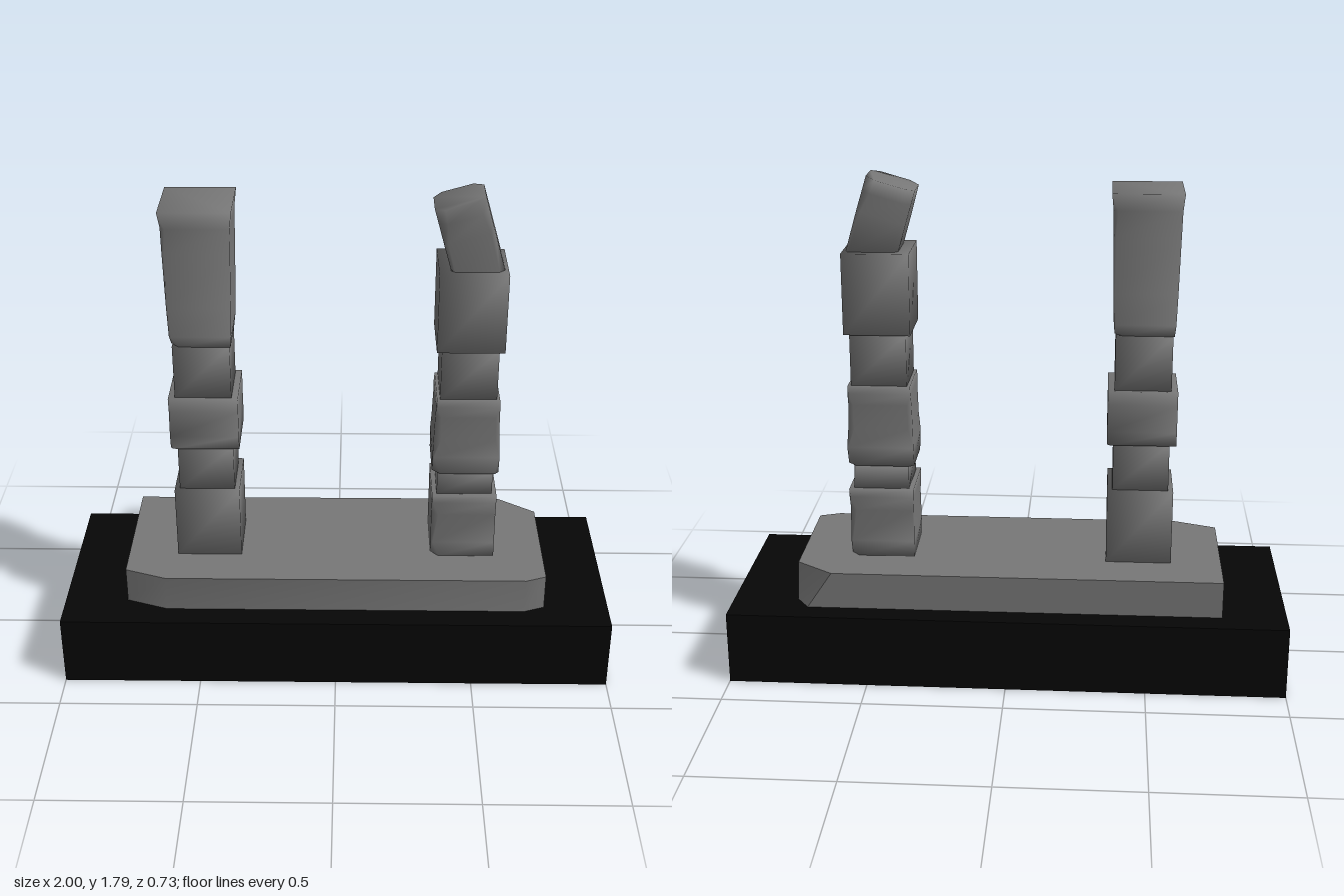
import * as THREE from 'three';
import { mergeVertices, toCreasedNormals } from 'three/addons/utils/BufferGeometryUtils.js';

const stone = new THREE.MeshStandardMaterial({ color: 0x777777 });
const black = new THREE.MeshStandardMaterial({ color: 0x060606 });

// Closed solid through rings of [x, y, z], each counterclockwise seen from above
function loft(rings) {
  const n = rings[0].length, pos = rings.flat(2), index = [];
  rings.slice(1).forEach((_, r) => {
    for (let k = 0; k < n; k++) {
      const a = r * n + k, b = r * n + (k + 1) % n;
      index.push(a, b, b + n, a, b + n, a + n);
    }
  });
  const top = (rings.length - 1) * n;
  for (let k = 1; k < n - 1; k++) {
    index.push(0, k + 1, k, top, top + k, top + k + 1);
  }
  const g = new THREE.BufferGeometry();
  g.setAttribute('position', new THREE.Float32BufferAttribute(pos, 3));
  g.setIndex(index);
  return g;
}

// Rectangle ring; cut a trims the +x-z and -x+z corners, cut b the other two
function ring([y, hx, hz, a = 0, b = 0]) {
  return [
    [hx, y, hz - b], [hx, y, -hz + a], [hx - a, y, -hz], [-hx + b, y, -hz],
    [-hx, y, -hz + b], [-hx, y, hz - a], [-hx + a, y, hz], [hx - b, y, hz],
  ];
}

// Hewn block with soft shading
function block(name, rows) {
  const g = mergeVertices(loft(rows.map(ring)), 1e-4);
  g.computeVertexNormals();
  const m = new THREE.Mesh(g, stone);
  m.name = name;
  return m;
}

// Stack of blocks sharing one axis
function pillar(name, x, blocks) {
  const p = new THREE.Group();
  p.name = name;
  p.position.x = x;
  blocks.forEach((rows, i) => p.add(block('pillarBlock' + (i + 1), rows)));
  return p;
}

export function createModel() {
  const model = new THREE.Group();

  // Dark plinth
  const plinth = new THREE.Mesh(new THREE.BoxGeometry(2, 0.265, 0.73), black);
  plinth.name = 'plinth';
  plinth.position.y = 0.1325;
  model.add(plinth);

  // Worn slab, with its back corner trimmed more at the top
  const outline = (y, cx, cz) => [
    [0.765, y, 0.25], [0.765, y, cz], [cx, y, -0.283], [-0.77, y, -0.28],
    [-0.77, y, 0.225], [-0.62, y, 0.278], [0.69, y, 0.278],
  ];
  const slab = new THREE.Mesh(
    toCreasedNormals(loft([outline(0.265, 0.72, -0.22), outline(0.4, 0.63, -0.19)]), 0.6), stone);
  slab.name = 'slab';
  model.add(slab);

  // Intact pillar with a flared capital
  model.add(pillar('rightPillar', -0.47, [
    [[0.4, 0.118, 0.118], [0.675, 0.118, 0.118]],
    [[0.675, 0.1, 0.1], [0.85, 0.1, 0.1]],
    [[0.85, 0.123, 0.115, 0.01], [0.9, 0.123, 0.115], [1.0, 0.123, 0.115, 0.008], [1.05, 0.123, 0.115]],
    [[1.05, 0.1, 0.1], [1.25, 0.1, 0.1]],
    [[1.25, 0.104, 0.104, 0.03], [1.29, 0.108, 0.108, 0.008], [1.4, 0.111, 0.111, 0.005],
      [1.6, 0.115, 0.115, 0.008], [1.69, 0.117, 0.117, 0.016], [1.75, 0.123, 0.123]],
  ]));

  // Weathered pillar with chipped corners
  const worn = pillar('leftPillar', 0.465, [
    [[0.4, 0.117, 0.117, 0.03], [0.46, 0.117, 0.117, 0.008], [0.58, 0.117, 0.117, 0.025, 0.006],
      [0.63, 0.117, 0.117, 0.005], [0.66, 0.117, 0.117]],
    [[0.66, 0.1, 0.1], [0.75, 0.1, 0.1, 0.01]],
    [[0.75, 0.12, 0.11, 0.03, 0.015], [0.82, 0.12, 0.112, 0.005], [0.89, 0.117, 0.11, 0.025, 0.015],
      [0.98, 0.114, 0.108, 0.02, 0.015], [1.02, 0.113, 0.107, 0.003], [1.05, 0.111, 0.105]],
    [[1.05, 0.1, 0.1], [1.24, 0.1, 0.1]],
    [[1.24, 0.118, 0.118], [1.53, 0.118, 0.118]],
  ]);
  model.add(worn);

  // Leaning broken top
  const stub = block('brokenTop', [
    [0, 0.088, 0.088, 0.01, 0.02], [0.15, 0.088, 0.09, 0.015, 0.015],
    [0.22, 0.088, 0.09, 0.03, 0.025], [0.27, 0.088, 0.088, 0.035, 0.03],
  ]);
  stub.position.set(0.021, 1.506, 0);
  stub.rotation.z = 0.28;
  worn.add(stub);

  return model;
}
